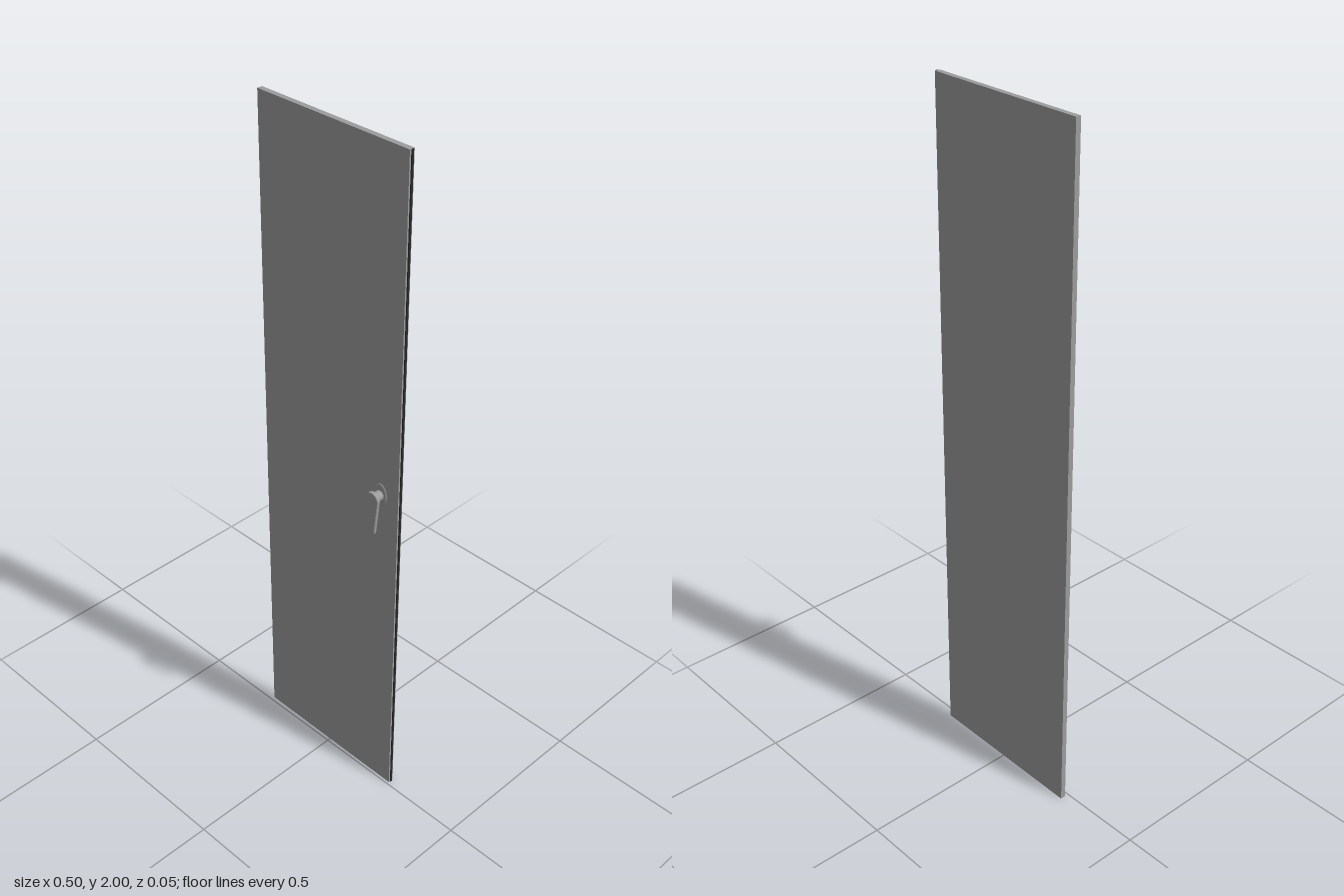
import * as THREE from 'three';

const grey = new THREE.MeshStandardMaterial({ color: 0x9c9c9c });
const dark = new THREE.MeshStandardMaterial({ color: 0x2a2a2a });

function add(parent, name, geometry, material, x, y, z) {
  const mesh = new THREE.Mesh(geometry, material);
  mesh.name = name;
  mesh.position.set(x, y, z);
  parent.add(mesh);
}

// Teardrop outline: large arc on top, small arc at the tip, straight flanks
function leverShape(r1, r2, drop) {
  const a = Math.asin((r1 - r2) / drop);
  const s = new THREE.Shape();
  s.absarc(0, 0, r1, -a, Math.PI + a, false);
  s.absarc(0, -drop, r2, Math.PI + a, 2 * Math.PI - a, false);
  s.closePath();
  return s;
}

export function createModel() {
  const model = new THREE.Group();
  model.name = 'cabinetDoor';

  // The door stands very slightly turned about the vertical
  const door = new THREE.Group();
  door.name = 'door';
  door.position.z = -0.0175;
  door.rotation.y = -0.008;
  model.add(door);

  // Panel and the thin dark sealing strip along its latch edge
  add(door, 'panel', new THREE.BoxGeometry(0.499, 2, 0.0155), grey, -0.0015, 1, 0);
  add(door, 'edgeStrip', new THREE.BoxGeometry(0.003, 2, 0.006), dark, 0.2495, 1, 0);

  // Handle: oval rose, round neck and hanging teardrop lever
  const handle = new THREE.Group();
  handle.name = 'handle';
  handle.position.set(0.1855, 1.026, 0);
  door.add(handle);

  const roseProfile = [[0.023, 0], [0.023, 0.0015], [0.019, 0.0035], [0, 0.0035]]
    .map(([r, h]) => new THREE.Vector2(r, h));
  const rose = new THREE.LatheGeometry(roseProfile, 40).rotateX(Math.PI / 2);
  rose.scale(1, 1.52, 1);
  add(handle, 'rose', rose, grey, 0, 0, 0.0075);

  const neck = new THREE.CylinderGeometry(0.0142, 0.0142, 0.025, 32).rotateX(Math.PI / 2);
  add(handle, 'neck', neck, grey, 0, 0, 0.02);

  const bevel = 0.003;
  const lever = new THREE.ExtrudeGeometry(leverShape(0.0185, 0.008, 0.103), {
    depth: 0.005, bevelEnabled: true, bevelThickness: bevel, bevelSize: bevel,
    bevelSegments: 4, curveSegments: 24,
  });
  add(handle, 'lever', lever, grey, 0, 0, 0.0335);

  return model;
}
